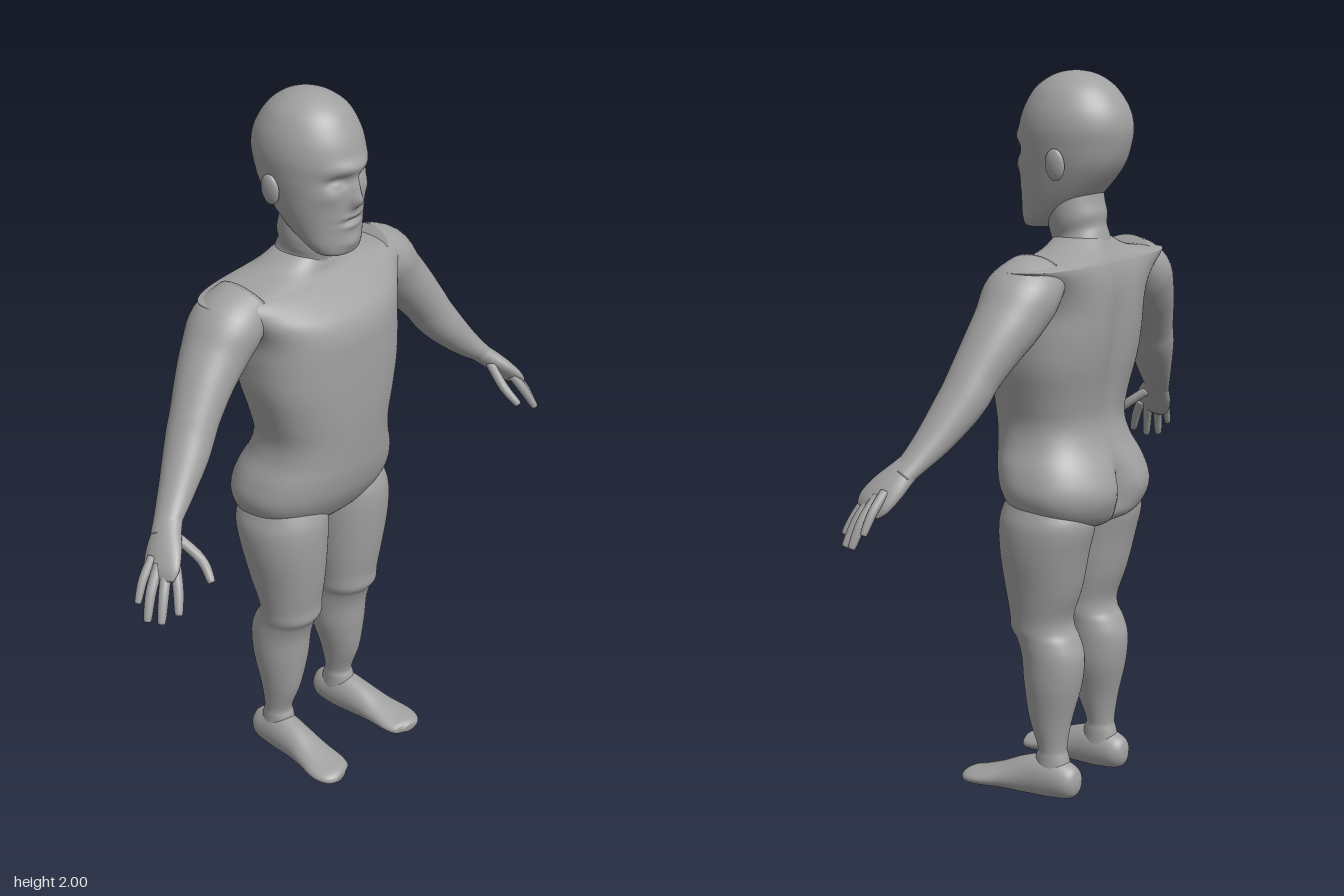
import * as THREE from 'three';

const skin = new THREE.MeshStandardMaterial({ color: 0xa0a0a0 });
skin.name = 'plain grey';
const SIDES = 48;

// Smoothly interpolates rows of numbers (Catmull-Rom on each column).
function smoothRows(rows, steps) {
  const out = [];
  const at = (i) => rows[Math.min(Math.max(i, 0), rows.length - 1)];
  for (let i = 0; i < rows.length - 1; i++) {
    for (let k = 0; k < steps; k++) {
      const t = k / steps;
      out.push(rows[i].map((p1, c) => {
        const p0 = at(i - 1)[c], p2 = at(i + 1)[c], p3 = at(i + 2)[c];
        return p1 + 0.5 * t * (p2 - p0 + t * (2 * p0 - 5 * p1 + 4 * p2 - p3 + t * (3 * (p1 - p2) + p3 - p0)));
      }));
    }
  }
  out.push(rows[rows.length - 1]);
  return out;
}

// Skins a list of rings and closes both ends; side = -1 mirrors in x.
function loft(name, rings, side = 1) {
  const n = rings[0].length, pos = [], idx = [];
  const add = (p) => pos.push(p.x * side, p.y, p.z);
  const tri = (a, b, c) => (side > 0 ? idx.push(a, b, c) : idx.push(a, c, b));
  rings.forEach((ring) => ring.forEach(add));
  for (let i = 0; i < rings.length - 1; i++) {
    for (let j = 0; j < n; j++) {
      const a = i * n + j, b = i * n + (j + 1) % n;
      tri(a, a + n, b);
      tri(b, a + n, b + n);
    }
  }
  const last = (rings.length - 1) * n, cap = rings.length * n;
  for (const ring of [rings[0], rings[rings.length - 1]]) {
    add(ring.reduce((s, p) => s.add(p), new THREE.Vector3()).divideScalar(n));
  }
  for (let j = 0; j < n; j++) {
    const k = (j + 1) % n;
    tri(cap, j, k);
    tri(cap + 1, last + k, last + j);
  }
  const geo = new THREE.BufferGeometry();
  geo.setAttribute('position', new THREE.Float32BufferAttribute(pos, 3));
  geo.setIndex(idx);
  geo.computeVertexNormals();
  const mesh = new THREE.Mesh(geo, skin);
  mesh.name = name;
  return mesh;
}

// Upright form. Rows: [y, centre x, half width, front z, back z, roundness].
// Bumps push the surface in z: [x, y, spread x, spread y, amount, face (1 front, -1 back)].
function upright(name, rows, { steps = 5, side = 1, bumps = [], tilt = 0 } = {}) {
  const rings = smoothRows(rows, steps).map(([y, cx, w, f, b, e]) => {
    const ring = [];
    for (let j = 0; j < SIDES * 2; j++) {
      const a = (j / (SIDES * 2)) * Math.PI * 2, c = Math.cos(a), s = Math.sin(a);
      const x = cx + Math.sign(c) * Math.abs(c) ** (2 / e) * w;
      let z = (f + b) / 2 + Math.sign(s) * Math.abs(s) ** (2 / e) * (f - b) / 2;
      for (const [bx, by, sx, sy, amount, face] of bumps) {
        if (s * face <= 0) continue;
        z += amount * Math.abs(s) * Math.exp(-(((x - bx) / sx) ** 2) - ((y - by) / sy) ** 2);
      }
      ring.push(new THREE.Vector3(x, y - tilt * (z + 0.06), z));
    }
    return ring;
  });
  return loft(name, rings, side);
}

// Limb along a path. Rows: [x, y, z, radius across, radius deep].
function limb(name, rows, { side = 1, steps = 5, sides = SIDES, ref = [0, 0, 1], floor = -1 } = {}) {
  const pts = smoothRows(rows, steps);
  const centre = pts.map((p) => new THREE.Vector3(p[0], p[1], p[2]));
  const axis = new THREE.Vector3(...ref);
  const rings = pts.map((p, i) => {
    const t = centre[Math.min(i + 1, pts.length - 1)].clone().sub(centre[Math.max(i - 1, 0)]).normalize();
    const u = t.clone().cross(axis).normalize(), v = u.clone().cross(t);
    return Array.from({ length: sides }, (_, j) => {
      const a = (j / sides) * Math.PI * 2;
      const q = centre[i].clone().addScaledVector(u, Math.cos(a) * p[3]).addScaledVector(v, Math.sin(a) * p[4]);
      q.y = Math.max(q.y, floor);
      return q;
    });
  });
  return loft(name, rings, side);
}

function finger(name, from, mid, to, r, side) {
  const end = to.map((v, i) => v + (v - mid[i]) * 0.06);
  return limb(name, [[...from, r, r], [...mid, r, r], [...to, r * 0.75, r * 0.75], [...end, r * 0.15, r * 0.15]],
    { side, sides: 14 });
}

export function createModel() {
  const model = new THREE.Group();
  model.name = 'figure';

  // Head with brow, eye sockets, nose, lips and chin
  const face = [
    [0, 1.825, 0.08, 0.018, 0.012, 1], [0, 1.735, 0.017, 0.022, 0.026, 1], [0, 1.77, 0.013, 0.03, 0.016, 1],
    [0, 1.677, 0.035, 0.006, -0.01, 1], [0, 1.69, 0.035, 0.008, 0.006, 1], [0, 1.664, 0.03, 0.008, 0.006, 1],
    [0, 1.615, 0.035, 0.018, 0.007, 1],
  ];
  for (const s of [-1, 1]) {
    face.push([s * 0.05, 1.79, 0.03, 0.016, -0.02, 1], [s * 0.05, 1.785, 0.016, 0.009, 0.01, 1]);
    face.push([s * 0.075, 1.75, 0.025, 0.02, 0.006, 1]);
  }
  model.add(upright('head', [
    [1.578, 0, 0.035, 0.085, 0.03, 2], [1.585, 0, 0.065, 0.1, 0.01, 2.1], [1.61, 0, 0.085, 0.106, -0.03, 2.1],
    [1.65, 0, 0.1, 0.109, -0.09, 2.1], [1.7, 0, 0.114, 0.112, -0.14, 2.1], [1.75, 0, 0.125, 0.115, -0.178, 2.1],
    [1.8, 0, 0.134, 0.118, -0.198, 2], [1.85, 0, 0.138, 0.115, -0.205, 2], [1.9, 0, 0.129, 0.1, -0.193, 2],
    [1.95, 0, 0.103, 0.07, -0.16, 2], [1.98, 0, 0.068, 0.032, -0.123, 2], [1.995, 0, 0.035, -0.005, -0.085, 2],
    [2, 0, 0.002, -0.043, -0.047, 2],
  ], { steps: 8, bumps: face }));

  // Neck with a soft fold
  model.add(upright('neck', [
    [1.48, 0, 0.1, 0, -0.15, 2], [1.54, 0, 0.08, 0.015, -0.138, 2], [1.57, 0, 0.074, 0.018, -0.13, 2],
    [1.6, 0, 0.082, 0.025, -0.13, 2], [1.64, 0, 0.085, 0.03, -0.12, 2], [1.72, 0, 0.08, 0.03, -0.11, 2],
  ], { tilt: 0.35 }));

  // Torso with spine groove, shoulder blades and buttocks
  const back = [[0, 1.3, 0.05, 0.2, 0.02, -1], [0, 0.86, 0.035, 0.09, 0.04, -1]];
  for (const s of [-1, 1]) back.push([s * 0.12, 0.87, 0.08, 0.07, -0.015, -1]);
  model.add(upright('torso', [
    [0.765, 0, 0.12, 0.03, -0.14, 2.2], [0.79, 0, 0.19, 0.07, -0.185, 2.3], [0.83, 0, 0.235, 0.1, -0.202, 2.4],
    [0.88, 0, 0.253, 0.125, -0.207, 2.4], [0.94, 0, 0.24, 0.14, -0.193, 2.4], [1, 0, 0.213, 0.147, -0.165, 2.4],
    [1.06, 0, 0.204, 0.152, -0.15, 2.4], [1.13, 0, 0.22, 0.156, -0.158, 2.4], [1.22, 0, 0.244, 0.157, -0.178, 2.4],
    [1.3, 0, 0.25, 0.156, -0.19, 2.4], [1.37, 0, 0.252, 0.152, -0.195, 2.4], [1.42, 0, 0.275, 0.133, -0.195, 2.4],
    [1.46, 0, 0.315, 0.092, -0.19, 2.5], [1.49, 0, 0.357, 0.052, -0.182, 2.7], [1.501, 0, 0.352, 0.035, -0.177, 2.7],
    [1.515, 0, 0.235, 0.025, -0.168, 2.4], [1.53, 0, 0.15, 0.02, -0.158, 2.2], [1.56, 0, 0.075, 0.01, -0.14, 2],
  ], { bumps: back }));

  for (const side of [1, -1]) {
    const label = side > 0 ? 'left' : 'right';
    const part = (n) => label + n;

    // Ear
    const ear = new THREE.Mesh(new THREE.SphereGeometry(1, 24, 16), skin);
    ear.name = part('Ear');
    ear.scale.set(0.014, 0.043, 0.029);
    ear.position.set(side * 0.134, 1.757, -0.058);
    ear.rotation.z = -side * 0.12;
    model.add(ear);

    // Arm from shoulder to wrist
    model.add(limb(part('Arm'), [
      [0.23, 1.475, -0.06, 0.07, 0.09], [0.305, 1.43, -0.06, 0.089, 0.105], [0.36, 1.37, -0.053, 0.083, 0.094],
      [0.41, 1.315, -0.04, 0.074, 0.082], [0.465, 1.245, -0.022, 0.064, 0.07], [0.495, 1.2, -0.012, 0.061, 0.067],
      [0.53, 1.155, 0.003, 0.056, 0.062], [0.59, 1.09, 0.027, 0.043, 0.05], [0.645, 1.04, 0.05, 0.03, 0.04],
      [0.68, 1.01, 0.066, 0.024, 0.036],
    ], { side }));

    // Palm and fingers
    const hand = new THREE.Group();
    hand.name = part('Hand');
    hand.add(limb('palm', [
      [0.63, 1.05, 0.045, 0.028, 0.036], [0.665, 1.02, 0.065, 0.028, 0.042], [0.7, 0.985, 0.088, 0.026, 0.053],
      [0.73, 0.95, 0.11, 0.02, 0.054], [0.745, 0.928, 0.122, 0.008, 0.04],
    ], { side, sides: 32 }));
    hand.add(
      finger('thumb', [0.655, 1.01, 0.085], [0.635, 0.96, 0.155], [0.645, 0.918, 0.2], 0.014, side),
      finger('indexFinger', [0.705, 0.965, 0.135], [0.728, 0.915, 0.165], [0.75, 0.865, 0.187], 0.014, side),
      finger('middleFinger', [0.722, 0.96, 0.12], [0.758, 0.905, 0.143], [0.785, 0.845, 0.16], 0.014, side),
      finger('ringFinger', [0.73, 0.965, 0.1], [0.775, 0.91, 0.115], [0.803, 0.848, 0.128], 0.014, side),
      finger('littleFinger', [0.73, 0.98, 0.078], [0.772, 0.935, 0.085], [0.8, 0.885, 0.093], 0.012, side),
    );
    model.add(hand);

    // Leg with knee and calf
    model.add(upright(part('Leg'), [
      [0.9, 0.125, 0.09, 0.06, -0.12, 2], [0.83, 0.127, 0.113, 0.092, -0.155, 2.1], [0.78, 0.131, 0.122, 0.102, -0.165, 2.1],
      [0.7, 0.131, 0.117, 0.1, -0.147, 2.1], [0.6, 0.125, 0.103, 0.09, -0.125, 2.1], [0.52, 0.122, 0.091, 0.078, -0.098, 2.1],
      [0.48, 0.121, 0.088, 0.076, -0.1, 2.1], [0.45, 0.122, 0.084, 0.058, -0.118, 2.1], [0.4, 0.123, 0.083, 0.044, -0.135, 2],
      [0.32, 0.125, 0.077, 0.036, -0.129, 2], [0.22, 0.131, 0.055, 0.02, -0.105, 2], [0.14, 0.134, 0.04, -0.008, -0.092, 2],
      [0.11, 0.134, 0.041, -0.002, -0.098, 2], [0.05, 0.135, 0.045, 0.01, -0.115, 2],
    ].reverse(), { side }));

    // Foot, flat underneath
    model.add(limb(part('Foot'), [
      [0.135, 0.045, -0.137, 0.012, 0.015], [0.135, 0.045, -0.127, 0.032, 0.038], [0.136, 0.046, -0.1, 0.046, 0.052],
      [0.138, 0.05, -0.04, 0.05, 0.064], [0.143, 0.043, 0.03, 0.05, 0.055], [0.15, 0.032, 0.1, 0.056, 0.037],
      [0.157, 0.023, 0.16, 0.063, 0.026], [0.158, 0.018, 0.2, 0.052, 0.021], [0.156, 0.016, 0.217, 0.022, 0.012],
    ], { side, ref: [0, 1, 0], floor: 0 }));
  }
  return model;
}
